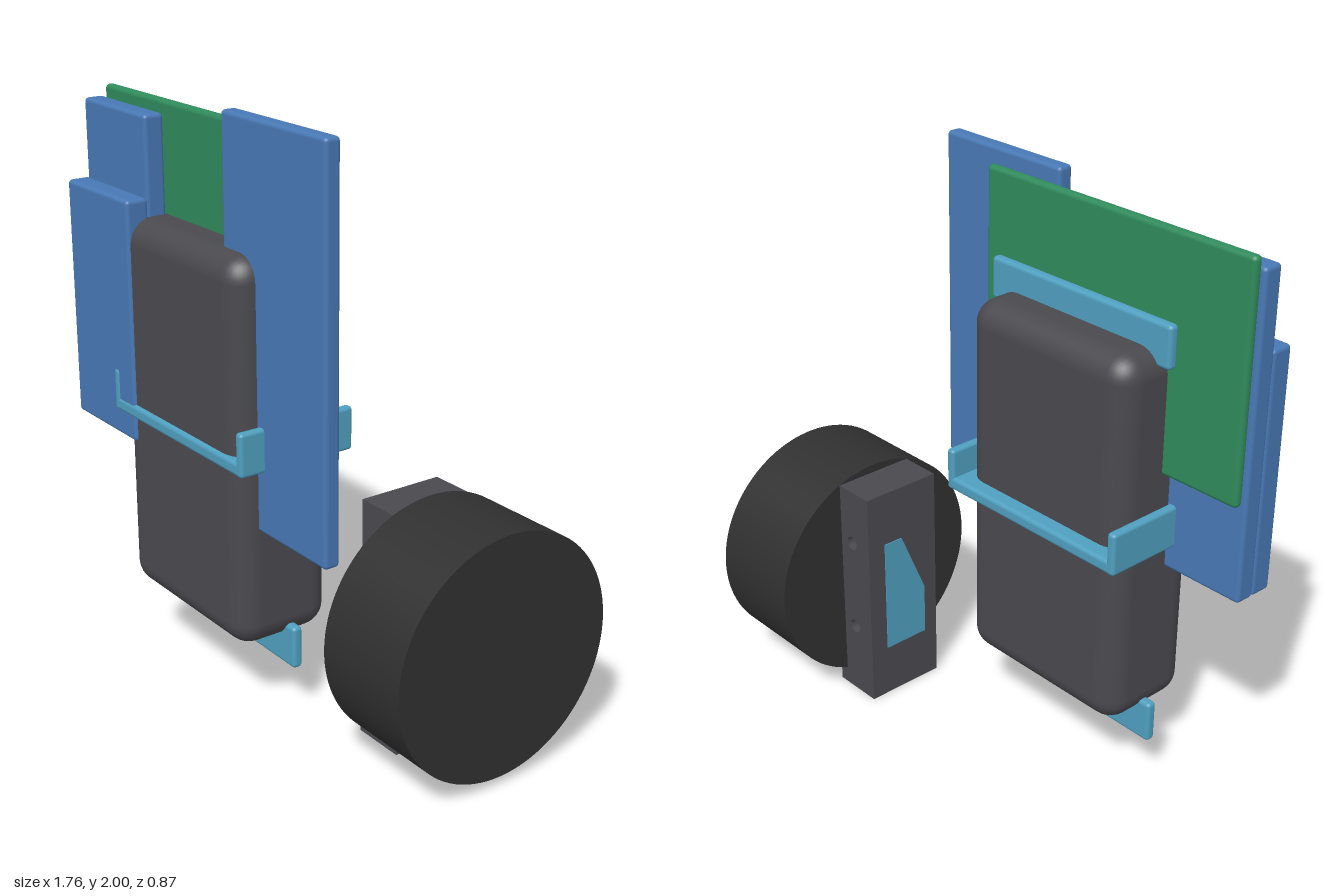
import * as THREE from 'three';
import { RoundedBoxGeometry } from 'three/addons/geometries/RoundedBoxGeometry.js';

function material(name, color) {
  const m = new THREE.MeshStandardMaterial({ color });
  m.name = name;
  return m;
}

export function createModel() {
  const group = new THREE.Group();
  const blue = material('panel blue', 0x4878b4);
  const green = material('board green', 0x2f8a5b);
  const teal = material('bracket light blue', 0x4f9fbf);
  const grey = material('case dark grey', 0x4a494e);
  const black = material('wheel black', 0x303030);

  function add(name, geometry, mat) {
    const mesh = new THREE.Mesh(geometry, mat);
    mesh.name = name;
    group.add(mesh);
    return mesh;
  }

  // Rounded box given by its extents on each axis
  function slab(name, [x0, x1], [y0, y1], [z0, z1], radius, mat, segments = 3) {
    const g = new RoundedBoxGeometry(x1 - x0, y1 - y0, z1 - z0, segments, radius);
    g.translate((x0 + x1) / 2, (y0 + y1) / 2, (z0 + z1) / 2);
    return add(name, g, mat);
  }

  // Main case and flat boards
  slab('case', [-0.58, 0.127], [0.265, 1.582], [0.06, 0.42], 0.085, grey, 4);
  slab('circuitBoard', [-0.875, 0.23], [1.155, 1.955], [0.242, 0.277], 0.016, green);
  slab('rightPanel', [-0.052, 0.48], [0.685, 2], [0.29, 0.346], 0.014, blue);
  slab('leftRearPanel', [-0.885, -0.488], [0.81, 1.915], [0.28, 0.352], 0.014, blue);
  slab('leftFrontPanel', [-0.885, -0.488], [0.81, 1.645], [0.348, 0.43], 0.014, blue);

  // Cross bars behind the case
  const barX = [-0.617, 0.163];
  slab('topBar', barX, [1.53, 1.675], [0.204, 0.241], 0.014, teal);
  slab('bottomBar', barX, [0.17, 0.32], [0.204, 0.241], 0.014, teal);

  // Tray around the case: floor and two upright ends
  slab('trayFloor', [-0.612, 0.16], [0.897, 0.944], [0.004, 0.434], 0.014, teal);
  for (const [name, x] of [['trayEndRight', -0.614], ['trayEndLeft', 0.13]]) {
    slab(name, [x, x + 0.033], [0.897, 1.045], [0.004, 0.434], 0.012, teal);
  }

  // Wheel on the x axis
  const wheelGeo = new THREE.CylinderGeometry(0.41, 0.41, 0.36, 96);
  wheelGeo.rotateZ(Math.PI / 2);
  wheelGeo.translate(0.7, 0.444, -0.03);
  add('wheel', wheelGeo, black);

  // Motor mount with two bolt holes running through along z
  const mount = new THREE.Shape([
    new THREE.Vector2(0.368, 0), new THREE.Vector2(0.555, 0),
    new THREE.Vector2(0.555, 0.825), new THREE.Vector2(0.368, 0.825),
  ]);
  for (const y of [0.272, 0.617]) {
    const hole = new THREE.Path();
    hole.absarc(0.461, y, 0.025, 0, Math.PI * 2, true);
    mount.holes.push(hole);
  }
  const mountGeo = new THREE.ExtrudeGeometry(mount, { depth: 0.3, bevelEnabled: false, curveSegments: 20 });
  mountGeo.translate(0, 0, -0.18);
  add('motorMount', mountGeo, grey);

  // Insert inside the mount, closing the holes halfway
  const core = new THREE.BoxGeometry(0.13, 0.47, 0.175);
  core.translate(0.445, 0.425, -0.0225);
  add('mountInsert', core, teal);

  // Exposed inner face of the insert
  const face = new THREE.Shape([
    new THREE.Vector2(-0.11, 0.195), new THREE.Vector2(0.065, 0.195), new THREE.Vector2(0.065, 0.385),
    new THREE.Vector2(-0.035, 0.625), new THREE.Vector2(-0.11, 0.625),
  ]);
  const faceGeo = new THREE.ExtrudeGeometry(face, { depth: 0.006, bevelEnabled: false });
  faceGeo.rotateY(-Math.PI / 2);
  faceGeo.translate(0.371, 0, 0);
  add('insertFace', faceGeo, teal);

  return group;
}
